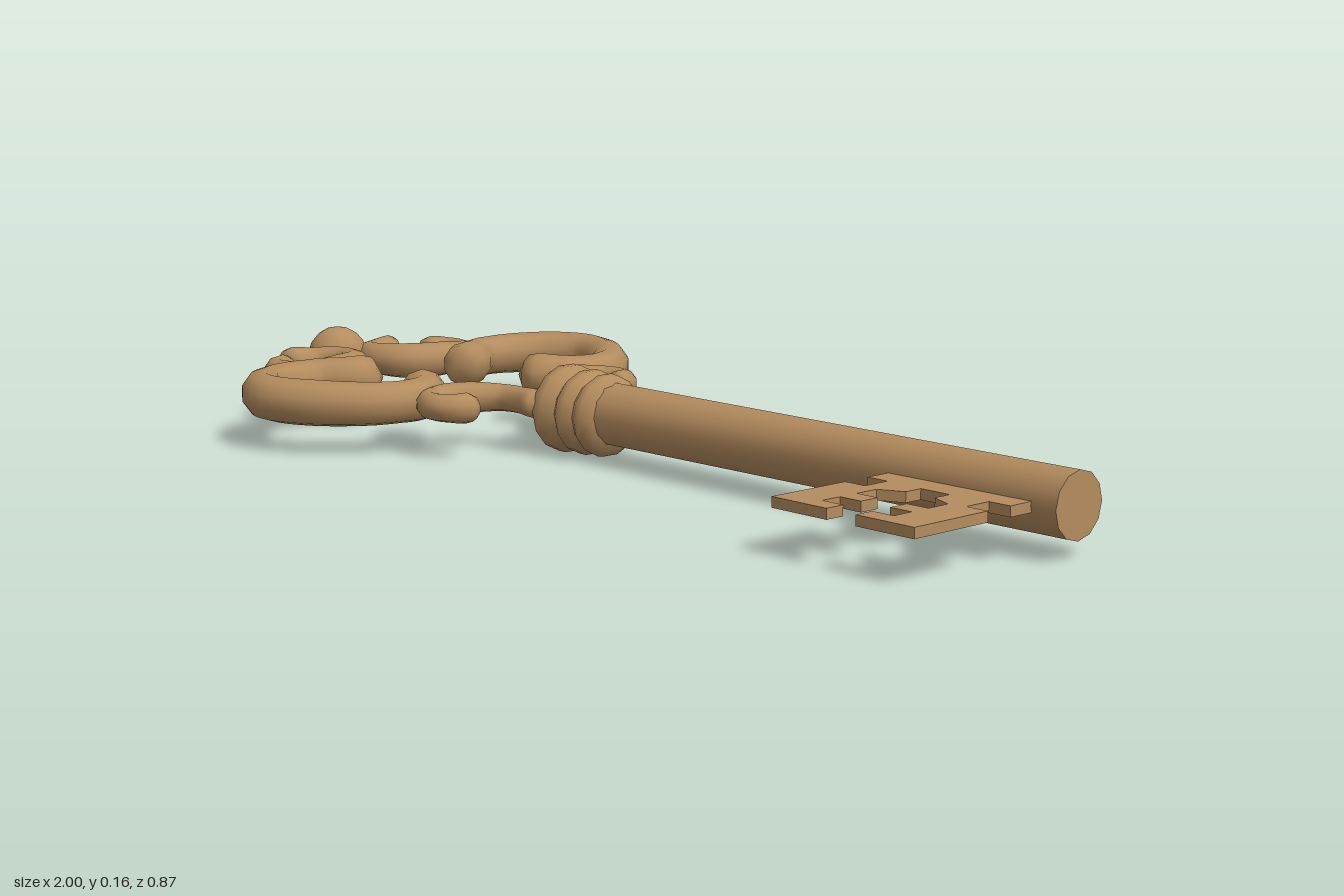
import * as THREE from 'three';
import { mergeVertices, toCreasedNormals } from 'three/addons/utils/BufferGeometryUtils.js';

const AXIS_Y = 0.087, AXIS_Z = -0.005;

// Tube with changing thickness and rounded ends; path is [x, z] pairs.
function scrollGeometry(path, radii, side) {
  const curve = new THREE.CatmullRomCurve3(
    path.map(([x, z]) => new THREE.Vector3(x, 0, z * side)), false, 'centripetal');
  const rows = 36, sides = 10, length = curve.getLength();
  let geo = new THREE.TubeGeometry(curve, rows, 1, sides, false);
  const pos = geo.attributes.position, v = new THREE.Vector3();
  for (let i = 0; i <= rows; i++) {
    const u = i / rows, t = u * (radii.length - 1);
    const k = Math.min(Math.floor(t), radii.length - 2);
    const r = THREE.MathUtils.lerp(radii[k], radii[k + 1], t - k);
    const cap = Math.min(1, Math.min(u, 1 - u) * length / r);
    const thick = r * Math.sqrt(1 - (1 - cap) ** 2);
    const centre = curve.getPointAt(u);
    for (let j = 0; j <= sides; j++) {
      const n = i * (sides + 1) + j;
      v.fromBufferAttribute(pos, n).sub(centre).multiplyScalar(thick).add(centre);
      pos.setXYZ(n, v.x, v.y, v.z);
    }
  }
  geo.deleteAttribute('uv');
  geo.deleteAttribute('normal');
  geo = mergeVertices(geo);
  geo.computeVertexNormals();
  return geo;
}

export function createModel() {
  const key = new THREE.Group();
  key.name = 'key';
  const bronze = new THREE.MeshStandardMaterial({ color: 0xb48c5e });
  bronze.name = 'bronze';

  function add(name, geo, x = 0, y = AXIS_Y, z = AXIS_Z) {
    const mesh = new THREE.Mesh(geo, bronze);
    mesh.name = name;
    mesh.position.set(x, y, z);
    key.add(mesh);
    return mesh;
  }

  // Turned parts lie along x
  function turned(profile, sides, crease) {
    const geo = new THREE.LatheGeometry(profile.map(([x, r]) => new THREE.Vector2(r, x)), sides);
    geo.rotateZ(-Math.PI / 2);
    return toCreasedNormals(geo, crease);
  }
  add('shaft', turned([[-0.1, 0.059], [1, 0.057], [1, 0]], 12, 0.8), 0, 0.092);
  add('collar', turned([[-0.315, 0], [-0.315, 0.02], [-0.275, 0.032], [-0.25, 0.045],
    [-0.21, 0.083], [-0.19, 0.083], [-0.168, 0.066], [-0.15, 0.08], [-0.133, 0.08],
    [-0.117, 0.067], [-0.1, 0.078], [-0.085, 0.076], [-0.065, 0.062], [-0.06, 0]], 14, 0.9), 0, 0.087);

  // Bow: three scrolls on each side, mirrored across the shaft
  const scrolls = {
    largeScroll: {
      path: [[-0.66, 0.09], [-0.685, 0.15], [-0.725, 0.2], [-0.732, 0.27], [-0.69, 0.35],
        [-0.6, 0.395], [-0.5, 0.36], [-0.42, 0.28], [-0.408, 0.2], [-0.44, 0.16], [-0.5, 0.125]],
      radii: [0.05, 0.043, 0.04, 0.042, 0.044, 0.044, 0.044, 0.042, 0.04, 0.043, 0.05], y: 0.1
    },
    collarScroll: {
      path: [[-0.2, 0.07], [-0.25, 0.062], [-0.31, 0.065], [-0.355, 0.105], [-0.375, 0.165],
        [-0.35, 0.215], [-0.305, 0.225], [-0.275, 0.2], [-0.275, 0.165]],
      radii: [0.03, 0.026, 0.026, 0.03, 0.03, 0.026, 0.026, 0.032], y: 0.1
    },
    crownScroll: {
      path: [[-0.865, 0.16], [-0.86, 0.2], [-0.82, 0.22], [-0.775, 0.2], [-0.765, 0.14],
        [-0.79, 0.07], [-0.85, 0.042], [-0.905, 0.06], [-0.925, 0.1], [-0.925, 0.15]],
      radii: [0.034, 0.028, 0.03, 0.036, 0.036, 0.032, 0.028, 0.036], y: 0.1
    }
  };
  for (const side of [-1, 1]) {
    const label = side > 0 ? 'Front' : 'Back';
    for (const [name, s] of Object.entries(scrolls)) {
      add(name + label, scrollGeometry(s.path, s.radii, side), 0, s.y);
    }
  }
  add('endBall', new THREE.SphereGeometry(0.062, 12, 9), -0.938, 0.1);

  // Bit: notched plate, outlined as one half and mirrored
  const half = [[0.148, 0.03], [0.148, 0.1], [0.105, 0.1], [0.105, 0.153], [0.148, 0.153],
    [0.148, 0.32], [0.03, 0.32], [0.03, 0.283], [0.074, 0.283], [0.074, 0.243], [0.03, 0.243],
    [0.03, 0.205], [0.074, 0.205], [0.074, 0.16], [0.03, 0.14], [0.03, 0.105]];
  const outline = [...half, ...half.map(([x, z]) => [-x, z]).reverse()];
  const plate = new THREE.ExtrudeGeometry(
    new THREE.Shape(outline.map(([x, z]) => new THREE.Vector2(x, z))),
    { depth: 0.018, bevelEnabled: false });
  plate.rotateX(Math.PI / 2);
  add('bit', plate, 0.803, 0.099, 0);

  return key;
}
